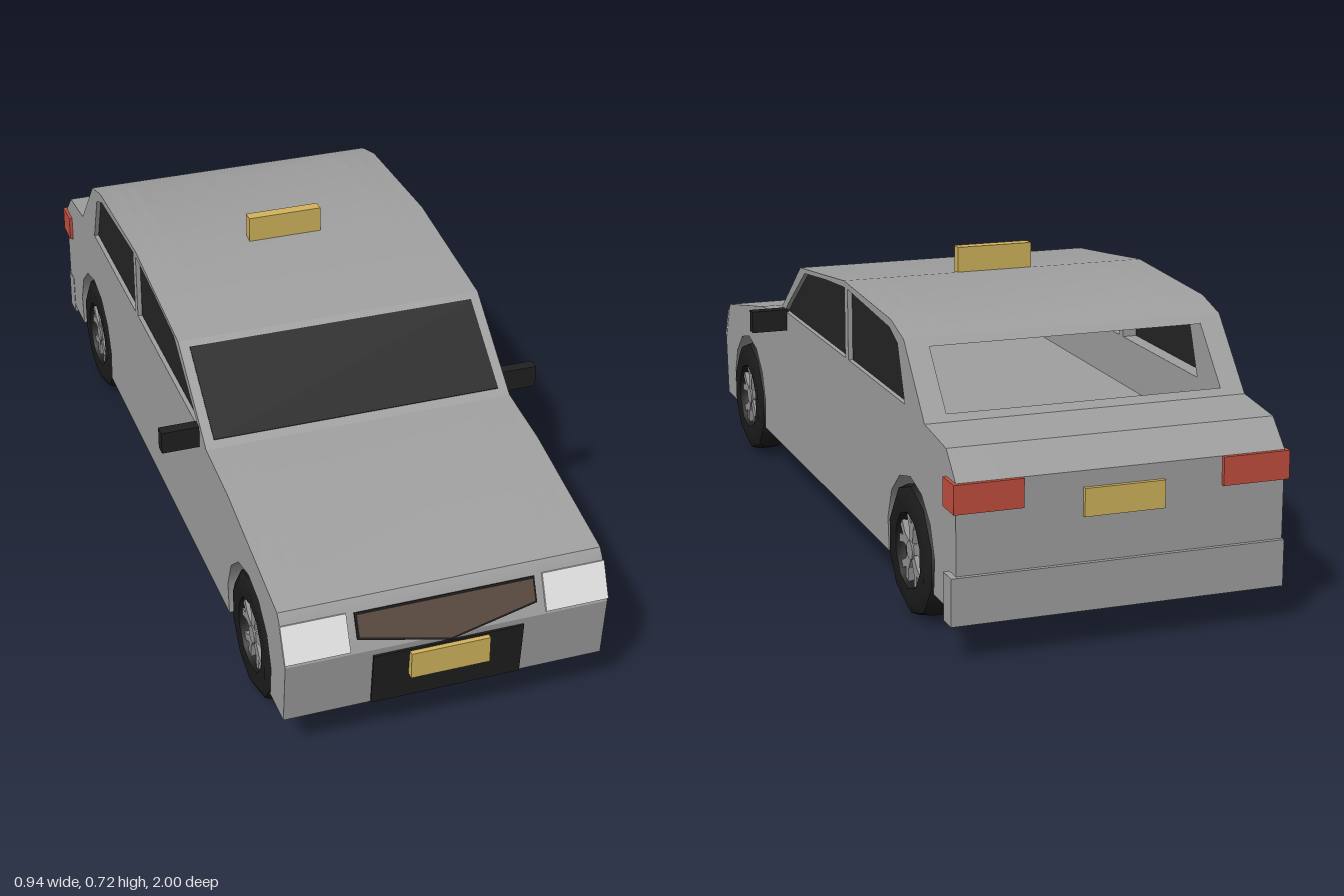
import * as THREE from 'three';
import { toCreasedNormals } from 'three/addons/utils/BufferGeometryUtils.js';

const paint = (name, color) => {
  const m = new THREE.MeshStandardMaterial({ color });
  m.name = name;
  return m;
};

export function createModel() {
  const bodyGrey = paint('body grey', 0xa0a0a0);
  const glass = paint('dark glass', 0x242424);
  const black = paint('black trim', 0x202020);
  const rubber = paint('tyre rubber', 0x1c1c1c);
  const rimGrey = paint('rim grey', 0x959595);
  const yellow = paint('yellow', 0xd2b45c);
  const red = paint('tail light red', 0xc44f40);
  const white = paint('headlight white', 0xeaeaea);
  const brown = paint('grille brown', 0x5c4c42);

  const car = new THREE.Group();
  car.name = 'car';

  const add = (name, geometry, material, parent = car) => {
    const mesh = new THREE.Mesh(geometry, material);
    mesh.name = name;
    parent.add(mesh);
    return mesh;
  };
  // box given by its limits on each axis
  const box = (name, material, [x0, x1], [y0, y1], [z0, z1]) => {
    const mesh = add(name, new THREE.BoxGeometry(x1 - x0, y1 - y0, z1 - z0), material);
    mesh.position.set((x0 + x1) / 2, (y0 + y1) / 2, (z0 + z1) / 2);
    return mesh;
  };
  const toShape = (pts) => new THREE.Shape(pts.map(([a, b]) => new THREE.Vector2(a, b)));
  // side outline of [z, y] points, extruded from x0 to x1
  const slice = (pts, x0, x1, holes = []) => {
    const shape = toShape(pts);
    shape.holes = holes.map(toShape);
    const g = new THREE.ExtrudeGeometry(shape, { depth: x1 - x0, bevelEnabled: false });
    g.rotateY(-Math.PI / 2).translate(x1, 0, 0);
    return toCreasedNormals(g, 0.5);
  };

  // body outline, running along the floor and back over the roof
  const wheelZ = [-0.69, 0.72];
  const arch = (c) => Array.from({ length: 9 }, (_, i) => {
    const a = Math.PI + 0.34 - (i / 8) * (Math.PI + 0.68);
    return [c + 0.165 * Math.cos(a), 0.16 + 0.165 * Math.sin(a)];
  });
  const arches = wheelZ.flatMap(arch);
  const start = [[-0.99, 0.105]];
  const top = [
    [0.97, 0.105], [0.985, 0.26], [0.945, 0.35], [0.93, 0.37], [0.57, 0.44], [0.4, 0.455],
    [0.18, 0.622], [0, 0.642], [-0.2, 0.665], [-0.56, 0.65], [-0.65, 0.625],
  ];
  const cabin = [
    [-0.665, 0.608], [-0.56, 0.625], [-0.2, 0.64], [0.16, 0.595], [0.3, 0.46],
    [0.3, 0.36], [-0.7, 0.36], [-0.777, 0.485],
  ];
  const tail = [[-0.79, 0.47], [-0.93, 0.455], [-0.99, 0.395]];
  const windows = [
    [[0.335, 0.478], [0.3, 0.505], [0.14, 0.615], [-0.05, 0.637], [-0.205, 0.65], [-0.205, 0.48]],
    [[-0.23, 0.65], [-0.55, 0.63], [-0.605, 0.607], [-0.655, 0.48], [-0.23, 0.48]],
  ];
  add('bodyCentre', slice([...start, ...top, ...cabin, ...tail], -0.285, 0.285), bodyGrey);

  for (const s of [1, -1]) {
    const span = (a, b) => (s > 0 ? [a, b] : [-b, -a]);
    // wheel arch section and outer skin with window openings
    add('bodyArchSection', slice([...start, ...arches, ...top, ...cabin, ...tail], ...span(0.285, 0.325)), bodyGrey);
    add('bodySide', slice([...start, ...arches, ...top, ...tail], ...span(0.325, 0.379), windows), bodyGrey);
    for (const w of windows) add('sideWindow', slice(w, ...span(0.36, 0.368)), glass);
    box('mirror', black, span(0.375, 0.47), [0.43, 0.485], [0.317, 0.345]);
    box('tailLight', red, span(0.23, 0.387), [0.33, 0.395], [-1, -0.93]);
  }

  // thin plates lying on a sloped front panel, drawn in [x, distance up the slope]
  const slopePlate = (name, material, pts, [z0, y0], [z1, y1], lift) => {
    const g = new THREE.ExtrudeGeometry(toShape(pts), { depth: lift + 0.003, bevelEnabled: false });
    const mesh = add(name, g.translate(0, 0, -0.003), material);
    mesh.position.set(0, y0, z0);
    mesh.rotation.x = Math.atan2(z1 - z0, y1 - y0);
    return mesh;
  };
  const rect = (x0, x1, y0, y1) => [[x0, y0], [x1, y0], [x1, y1], [x0, y1]];
  const nose = [[0.985, 0.26], [0.945, 0.35]];
  slopePlate('windshield', glass, rect(-0.355, 0.355, 0.021, 0.258), [0.4, 0.455], [0.18, 0.622], 0.003);
  for (const x of [-0.38, 0.23]) {
    slopePlate('headlight', white, rect(x, x + 0.15, 0.006, 0.094), ...nose, 0.006);
  }
  const grille = (e) => [
    [-0.207 - e, 0.087 + e], [-0.207 - e, 0.035 - e], [0, -0.008 - e], [0.207 + e, 0.035 - e], [0.207 + e, 0.087 + e],
  ];
  slopePlate('grilleFrame', black, grille(0.004), ...nose, 0.004);
  slopePlate('grille', brown, grille(0), ...nose, 0.007);
  slopePlate('airIntake', black, rect(-0.177, 0.177, 0.001, 0.14), [0.97, 0.105], [0.985, 0.26], 0.005);

  // plates, roof sign and rear bumper
  box('frontPlate', yellow, [-0.093, 0.093], [0.172, 0.238], [0.977, 1]);
  box('rearPlate', yellow, [-0.093, 0.093], [0.295, 0.358], [-1, -0.985]);
  box('roofSign', yellow, [-0.093, 0.093], [0.655, 0.725], [-0.198, -0.17]);
  box('rearBumper', bodyGrey, [-0.38, 0.393], [0.085, 0.192], [-1, -0.95]);

  // wheels: ten-sided tyre with a recessed five-spoke rim
  const tyreProfile = [
    [0, -0.047], [0.125, -0.047], [0.147, -0.036], [0.154, -0.015], [0.154, 0.015],
    [0.147, 0.036], [0.125, 0.047], [0.088, 0.044], [0.084, 0.022], [0, 0.022],
  ].map(([r, y]) => new THREE.Vector2(r, y));
  const tyre = toCreasedNormals(new THREE.LatheGeometry(tyreProfile, 10, Math.PI / 2).rotateZ(-Math.PI / 2), 0.75);
  const spoke = new THREE.ExtrudeGeometry(
    toShape([[-0.01, 0.01], [0.01, 0.01], [0.014, 0.05], [0.03, 0.076], [0.012, 0.082], [0, 0.06],
      [-0.012, 0.082], [-0.03, 0.076], [-0.014, 0.05]]),
    { depth: 0.014, bevelEnabled: false },
  ).rotateY(Math.PI / 2).translate(0.022, 0, 0);
  const hub = new THREE.CylinderGeometry(0.022, 0.022, 0.018, 10).rotateZ(Math.PI / 2).translate(0.031, 0, 0);
  for (const z of wheelZ) {
    for (const s of [1, -1]) {
      const wheel = new THREE.Group();
      wheel.name = 'wheel';
      add('tyre', tyre, rubber, wheel);
      add('hub', hub, rimGrey, wheel);
      for (let i = 0; i < 5; i++) {
        add('spoke', spoke, rimGrey, wheel).rotation.x = (i / 5) * Math.PI * 2;
      }
      wheel.position.set(s > 0 ? 0.342 : -0.333, 0.155, z);
      if (s < 0) wheel.rotation.y = Math.PI;
      car.add(wheel);
    }
  }
  return car;
}
